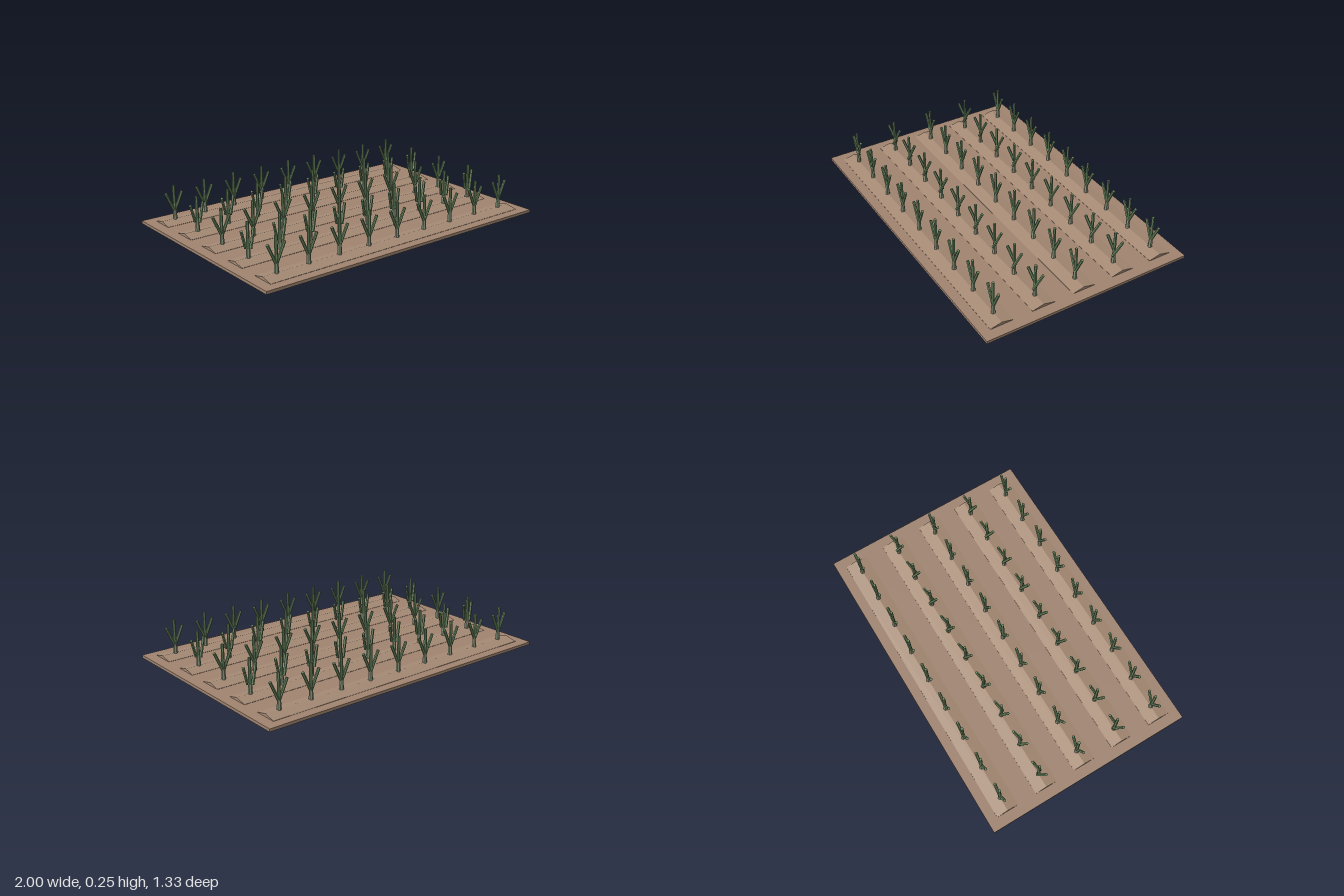
import * as THREE from 'three';

const mat = (color) => new THREE.MeshStandardMaterial({ color, flatShading: true });

export function createModel() {
  const field = new THREE.Group();
  field.name = 'cropField';
  const soil = mat(0x9f836f), ridgeSoil = mat(0xa58a74);
  const stemMat = mat(0x88947a), leafMat = mat(0x6c8a62);

  function add(parent, name, geometry, material, x = 0, y = 0, z = 0) {
    const mesh = new THREE.Mesh(geometry, material);
    mesh.name = name;
    mesh.position.set(x, y, z);
    parent.add(mesh);
    return mesh;
  }

  // Flat soil bed
  add(field, 'soilBed', new THREE.BoxGeometry(2, 0.018, 1.334), soil, 0, 0.009, 0);

  // Peaked ridge, extruded along x
  const profile = new THREE.Shape();
  profile.moveTo(-0.072, 0);
  profile.lineTo(0.072, 0);
  profile.lineTo(0.072, 0.004);
  profile.lineTo(0, 0.021);
  profile.lineTo(-0.072, 0.004);
  profile.closePath();
  const ridgeGeo = new THREE.ExtrudeGeometry(profile, { depth: 1.866, bevelEnabled: false });
  ridgeGeo.translate(0, 0, -0.933);
  ridgeGeo.rotateY(Math.PI / 2);

  const stemGeo = new THREE.CylinderGeometry(0.011, 0.014, 0.065, 6);
  const shootGeo = new THREE.CylinderGeometry(0.009, 0.01, 0.16, 6);
  const leafGeo = new THREE.CylinderGeometry(0.009, 0.009, 0.126, 6);

  // Plant: stem, upright shoot and two leaning leaves
  function plant(yaw) {
    const g = new THREE.Group();
    g.name = 'plant';
    add(g, 'stem', stemGeo, stemMat, 0, 0.0575, 0);
    add(g, 'shoot', shootGeo, leafMat, 0, 0.166, 0);
    for (const side of [-1, 1]) {
      const leaf = add(g, side > 0 ? 'leftLeaf' : 'rightLeaf', leafGeo, leafMat, side * 0.029, 0.146, 0);
      leaf.rotation.set(0, yaw, -side * 0.43, 'YXZ');
    }
    return g;
  }

  // Five rows of nine plants; leaves are turned in every second row
  for (let row = 0; row < 5; row++) {
    const z = (row - 2) * 0.267;
    add(field, 'ridge', ridgeGeo, ridgeSoil, 0, 0.0155, z);
    for (let i = 0; i < 9; i++) {
      const p = plant(row % 2 ? 0.6 : 0);
      p.position.set((i - 4) * 0.211, 0, z);
      field.add(p);
    }
  }
  return field;
}
